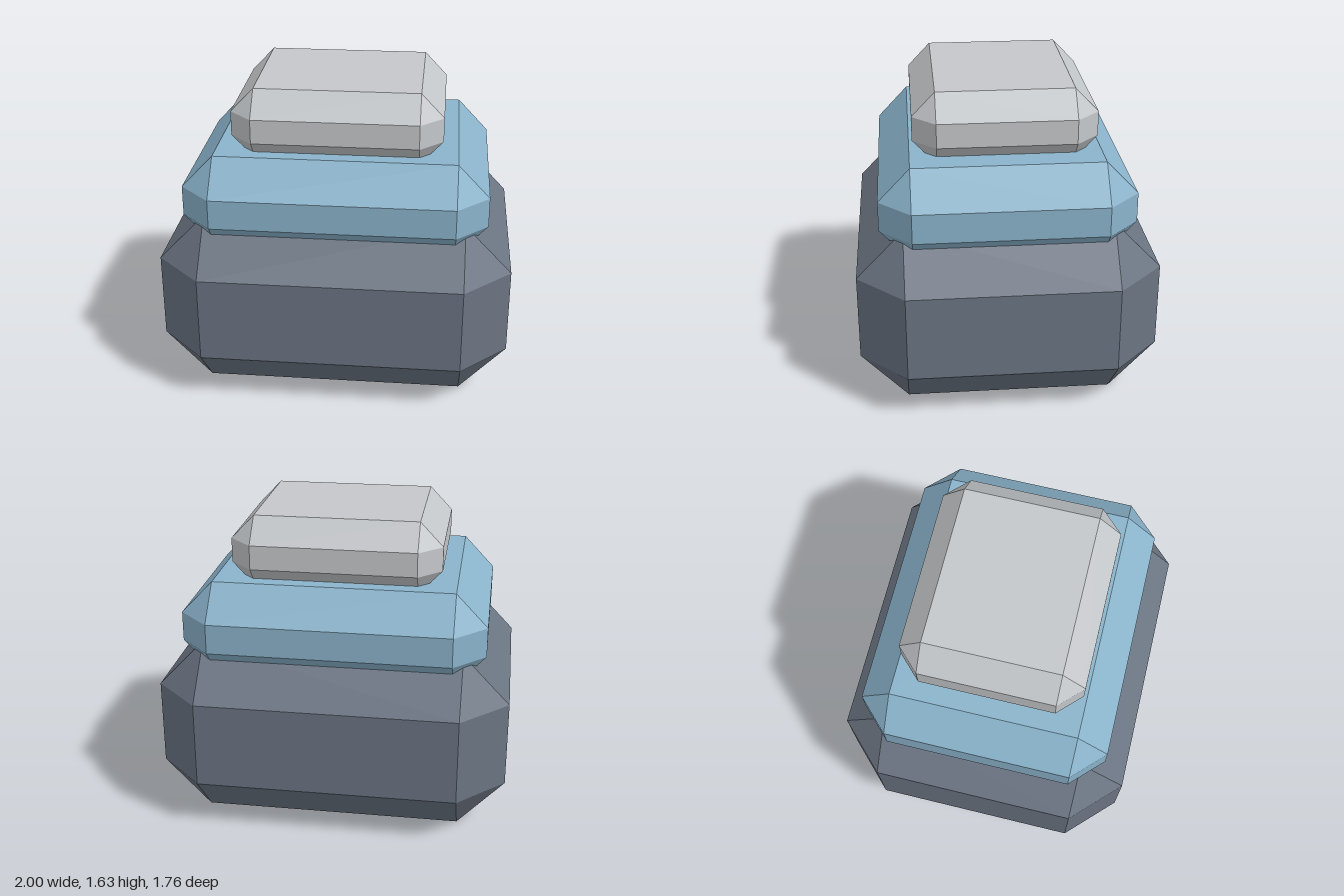
import * as THREE from 'three';
import { ConvexGeometry } from 'three/addons/geometries/ConvexGeometry.js';

// Chamfered block: octagonal waist rings, tapering to smaller rectangles above and below.
function stoneGeometry(halfX, halfZ, inset, yBottom, yTop, rise) {
  const points = [];
  const innerX = halfX - inset;
  const innerZ = halfZ - inset;
  for (const sx of [-1, 1]) {
    for (const sz of [-1, 1]) {
      for (const y of [yBottom, yTop]) {
        points.push(new THREE.Vector3(sx * innerX, y, sz * innerZ));
      }
      for (const y of [yBottom + rise, yTop - rise]) {
        points.push(new THREE.Vector3(sx * halfX, y, sz * innerZ));
        points.push(new THREE.Vector3(sx * innerX, y, sz * halfZ));
      }
    }
  }
  return new ConvexGeometry(points);
}

export function createModel() {
  const model = new THREE.Group();
  model.name = 'stackedStones';

  const material = (name, color) => {
    const m = new THREE.MeshStandardMaterial({ color });
    m.name = name;
    return m;
  };
  const slate = material('slate', 0x6b7482);
  const blue = material('blue', 0x8ab3cb);
  const paleGrey = material('paleGrey', 0xc4c7ca);

  // name, material, half width, half depth, chamfer inset, bottom, top, chamfer rise
  const stones = [
    ['baseStone', slate, 0.933, 0.79, 0.247, 0, 0.98, 0.26],
    ['middleStone', blue, 0.803, 0.665, 0.168, 0.785, 1.3, 0.178],
    ['topStone', paleGrey, 0.555, 0.48, 0.122, 1.24, 1.627, 0.129],
  ];
  for (const [name, mat, ...size] of stones) {
    const stone = new THREE.Mesh(stoneGeometry(...size), mat);
    stone.name = name;
    stone.rotation.y = THREE.MathUtils.degToRad(8);
    model.add(stone);
  }
  return model;
}
